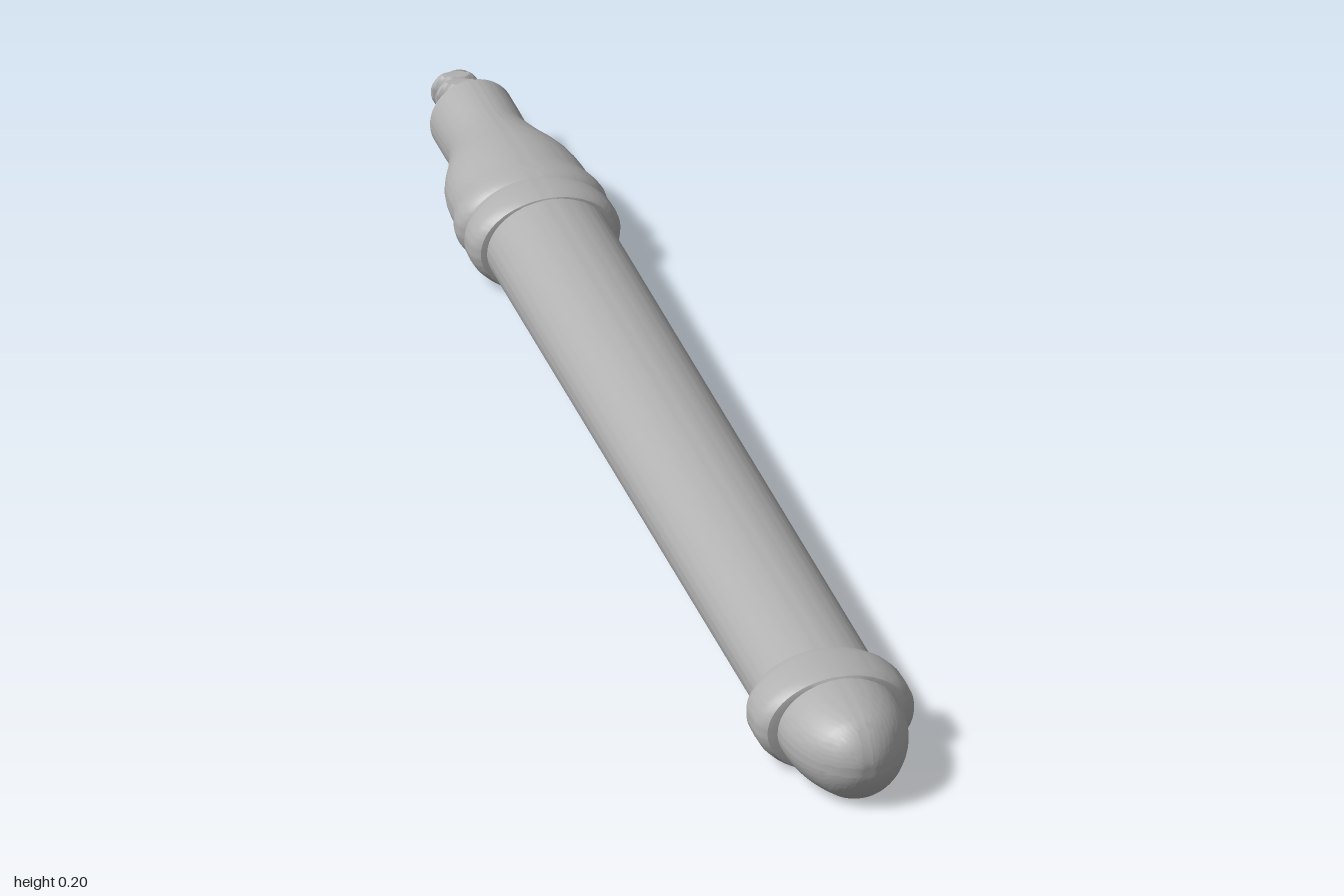
import * as THREE from 'three';
import { toCreasedNormals } from 'three/addons/utils/BufferGeometryUtils.js';

const AXIS_Y = 0.088; // height of the rod's axis above the ground

// Half height of the section for a given half width: round when thin, flatter when wide
function halfHeight(r) {
  if (r <= 0.085) return r;
  if (r <= 0.124) return 0.085 + (r - 0.085) * 0.385;
  return 0.1 + (r - 0.124) * 0.2;
}

// Turned part along z, squashed in height and cut flat underneath
function turned(name, profile, material) {
  const geo = new THREE.LatheGeometry(profile.map(([r, s]) => new THREE.Vector2(r, s)), 96);
  geo.rotateX(Math.PI / 2);
  const p = geo.attributes.position;
  for (let i = 0; i < p.count; i++) {
    const r = Math.hypot(p.getX(i), p.getY(i));
    if (r < 1e-6) continue;
    p.setY(i, Math.max(-AXIS_Y, p.getY(i) * halfHeight(r) / r));
  }
  const mesh = new THREE.Mesh(toCreasedNormals(geo, 0.55), material);
  mesh.name = name;
  return mesh;
}

// Screw stud: a cylinder whose radius follows a helix, flattened above and below
function threadedStud(material) {
  const start = -1.372, end = -1.23, pitch = 0.029;
  const geo = new THREE.CylinderGeometry(1, 1, end - start, 32, 50);
  geo.rotateX(Math.PI / 2);
  geo.translate(0, 0, (start + end) / 2);
  const p = geo.attributes.position;
  for (let i = 0; i < p.count; i++) {
    const x = p.getX(i), y = p.getY(i), z = p.getZ(i);
    if (Math.hypot(x, y) < 0.5) continue;
    const turn = z / pitch + Math.atan2(y, x) / (2 * Math.PI);
    const ridge = 1 - Math.abs(2 * (turn - Math.floor(turn)) - 1);
    const r = 0.035 + 0.012 * Math.min(1, ridge * 1.5);
    p.setXY(i, x * r, THREE.MathUtils.clamp(y * r, -0.038, 0.038));
  }
  const mesh = new THREE.Mesh(toCreasedNormals(geo, 0.55), material);
  mesh.name = 'threadedStud';
  return mesh;
}

export function createModel() {
  const grey = new THREE.MeshStandardMaterial({ color: 0xb0b0b0 });
  grey.name = 'plain grey';

  const model = new THREE.Group();
  model.name = 'handleRod';
  const rod = new THREE.Group();
  rod.name = 'diagonalRod';
  rod.position.y = AXIS_Y;
  rod.rotation.y = Math.PI / 4;
  model.add(rod);

  rod.add(threadedStud(grey));

  // Neck swelling into a bulb and its rim
  rod.add(turned('neckAndBulb', [
    [0, -1.25], [0.084, -1.25], [0.084, -1.18], [0.083, -1.13], [0.091, -1.1],
    [0.106, -1.06], [0.122, -1.025], [0.131, -1.0], [0.137, -0.97], [0.14, -0.94],
    [0.141, -0.91], [0.146, -0.892], [0.151, -0.875], [0.153, -0.86], [0.151, -0.845],
    [0.144, -0.832], [0.135, -0.825], [0, -0.825],
  ], grey));

  // Ring between bulb and shaft
  rod.add(turned('shaftRing', [
    [0, -0.83], [0.138, -0.83], [0.146, -0.818], [0.151, -0.805], [0.152, -0.785],
    [0.151, -0.768], [0.146, -0.754], [0.136, -0.744], [0.122, -0.742], [0, -0.742],
  ], grey));

  rod.add(turned('shaft', [[0, -0.76], [0.124, -0.76], [0.124, 1.08], [0, 1.08]], grey));

  // Collar below the dome
  rod.add(turned('domeCollar', [
    [0, 1.05], [0.125, 1.05], [0.143, 1.053], [0.154, 1.064], [0.159, 1.08], [0.16, 1.11],
    [0.159, 1.14], [0.154, 1.156], [0.143, 1.168], [0.122, 1.172], [0, 1.172],
  ], grey));

  // Rounded end
  const dome = [[0, 1.15], [0.124, 1.15]];
  for (let i = 0; i <= 20; i++) {
    const a = (i / 20) * Math.PI / 2;
    dome.push([i === 20 ? 0 : 0.124 * Math.cos(a), 1.18 + 0.185 * Math.sin(a)]);
  }
  rod.add(turned('endDome', dome, grey));

  return model;
}
